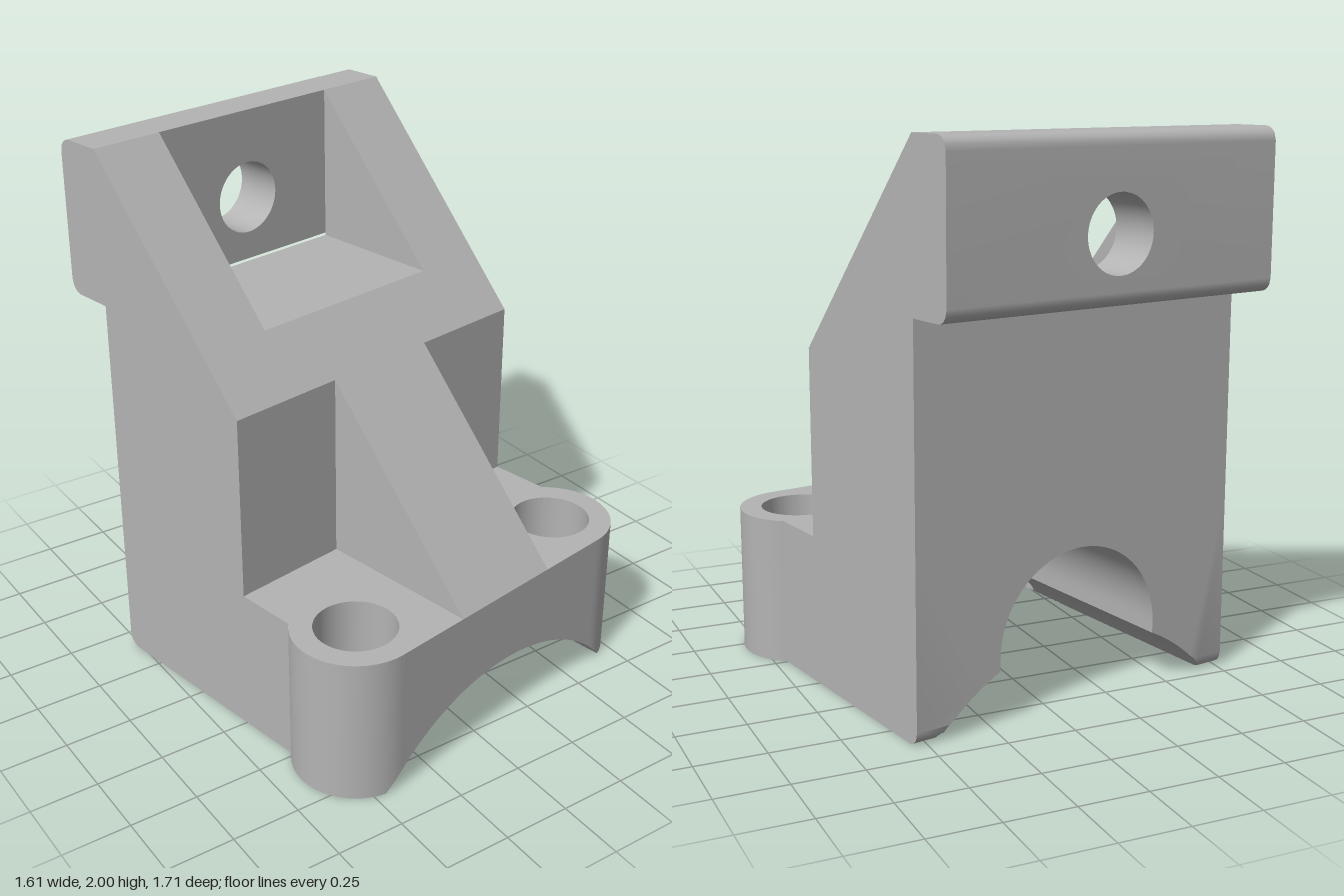
import * as THREE from 'three';
import { toCreasedNormals } from 'three/addons/utils/BufferGeometryUtils.js';

// Main dimensions: u runs across, y up, w towards the front
const HALF = 0.667, RIB = 0.223, POCKET = 0.391;
const BACK = -0.56, LIP = -0.753, STEP = 0.14, SLOT_END = 0.3, FRONT = 0.767;
const FLANGE = 0.55, SPLIT = 0.62, SHELF = 1.42, TOP = 2;
const ROUND = 0.05;
const SADDLE_R = 0.758, SADDLE_Y = -0.488, SADDLE_HALF = 0.58;
const SLOT_R = 0.333, SLOT_Y = 0.24;
const BOSS_U = 0.512, BOSS_W = 0.539, BOSS_R = 0.228, BORE_R = 0.147, HOLE_R = 0.07, BORE_Y = 0.26;
const INNER = BOSS_U - BORE_R;

// Height of the underside saddle and of the sloped front
const saddle = (u) => Math.max(0, SADDLE_Y + Math.sqrt(Math.max(0, SADDLE_R ** 2 - u * u)));
const slope = (w) => TOP - (w - BACK) * (TOP - FLANGE) / (FRONT - BACK);

const polygon = (pts) => new THREE.Shape(pts.map(([x, y]) => new THREE.Vector2(x, y)));

// Points along the saddle between two u positions
function saddleArc(a, b, n) {
  return Array.from({ length: n + 1 }, (_, i) => {
    const u = a + (b - a) * i / n;
    return [u, Math.abs(u) > SADDLE_HALF - 1e-6 ? 0 : saddle(u)];
  });
}

// Extrude a (u, y) shape along w
function alongW(shape, w0, w1, steps = 1) {
  const g = new THREE.ExtrudeGeometry(shape, { depth: w1 - w0, steps, bevelEnabled: false, curveSegments: 32 });
  return g.translate(0, 0, w0);
}

// Extrude a (w, y) outline across u
function acrossU(pts, u0, u1) {
  const g = new THREE.ExtrudeGeometry(polygon(pts), { depth: u1 - u0, bevelEnabled: false });
  return g.translate(0, 0, -u1).rotateY(-Math.PI / 2);
}

// Round the lower (and upper) horizontal edges at a back face
function roundBack(g, back, low, high) {
  const p = g.attributes.position;
  for (let i = 0; i < p.count; i++) {
    const t = Math.max(0, ROUND - (p.getZ(i) - back));
    const lift = ROUND - Math.sqrt(Math.max(0, ROUND ** 2 - t * t));
    p.setY(i, Math.min(high - lift, Math.max(low + lift, p.getY(i))));
  }
  return g;
}

// Mounting boss with counterbored hole, lofted around the hole axis
function bossGeometry(side) {
  const back = BOSS_W - SLOT_END, out = HALF - BOSS_U, reach = Math.sqrt(BOSS_R ** 2 - out ** 2);
  const angles = Array.from({ length: 96 }, (_, i) => -Math.PI + (i + 0.5) * Math.PI / 48);
  angles.push(Math.atan2(-back, -BORE_R), Math.atan2(-back, out), Math.atan2(-reach, out),
    Math.atan2(BOSS_R, -BORE_R), 0, Math.PI / 2);
  angles.sort((a, b) => a - b);
  const edge = (a) => {
    const c = Math.cos(a), s = Math.sin(a);
    const box = Math.min((c > 0 ? out : BORE_R) / Math.max(1e-9, Math.abs(c)),
      (s > 0 ? BOSS_R : back) / Math.max(1e-9, Math.abs(s)));
    if (c < 0) return box;
    return s >= 0 ? BOSS_R : Math.max(BOSS_R, box);
  };
  // Rings: underside outwards, up the wall, over the top, down the counterbore and hole
  const rings = [];
  for (let i = 0; i <= 12; i++) rings.push([(a) => HOLE_R + (edge(a) - HOLE_R) * i / 12, null]);
  rings.push([edge, FLANGE], [() => BORE_R, FLANGE], [() => BORE_R, BORE_Y], [() => HOLE_R, BORE_Y]);
  const pos = [], index = [], n = angles.length;
  for (const [radius, y] of rings) {
    for (const a of angles) {
      const u = BOSS_U + radius(a) * Math.cos(a);
      pos.push(side * u, y === null ? saddle(u) : y, BOSS_W + radius(a) * Math.sin(a));
    }
  }
  for (let i = 0; i < rings.length; i++) {
    const i2 = (i + 1) % rings.length;
    for (let j = 0; j < n; j++) {
      const j2 = (j + 1) % n;
      const a = i * n + j, b = i2 * n + j, c = i2 * n + j2, d = i * n + j2;
      if (side > 0) index.push(a, b, c, a, c, d);
      else index.push(a, c, b, a, d, c);
    }
  }
  const g = new THREE.BufferGeometry();
  g.setAttribute('position', new THREE.Float32BufferAttribute(pos, 3));
  g.setIndex(index);
  return g;
}

export function createModel() {
  const model = new THREE.Group();
  model.name = 'mountingBracket';
  const bracket = new THREE.Group();
  bracket.name = 'bracket';
  bracket.rotation.y = THREE.MathUtils.degToRad(10);
  bracket.position.set(-0.018, 0, 0.003);
  model.add(bracket);

  const grey = new THREE.MeshStandardMaterial({ color: 0xb4b4b4 });
  grey.name = 'grey';
  const add = (name, geometry) => {
    const mesh = new THREE.Mesh(toCreasedNormals(geometry, 0.5), grey);
    mesh.name = name;
    bracket.add(mesh);
  };

  // Underside outline: saddle with a round-topped slot
  const slot = Array.from({ length: 41 }, (_, i) => {
    const a = Math.PI * (1 - i / 40);
    return [SLOT_R * Math.cos(a), SLOT_Y + SLOT_R * Math.sin(a)];
  });
  const under = [[-HALF, 0], ...saddleArc(-SADDLE_HALF, -SLOT_R, 12), ...slot,
    ...saddleArc(SLOT_R, SADDLE_HALF, 12), [HALF, 0]];

  // Lower body, with a rounded back edge
  const rear = polygon([...under, [HALF, SPLIT], [-HALF, SPLIT]]);
  add('lowerBodyBack', roundBack(alongW(rear, BACK, BACK + ROUND, 8), BACK, 0, 9));
  add('lowerBody', alongW(rear, BACK + ROUND, STEP));
  add('lowerBodyStep', alongW(polygon([...under, [HALF, FLANGE], [RIB, FLANGE], [RIB, SPLIT],
    [-RIB, SPLIT], [-RIB, FLANGE], [-HALF, FLANGE]]), STEP, SLOT_END));

  // Front flange between the bosses
  add('frontFlange', alongW(polygon([...saddleArc(-INNER, INNER, 40),
    [INNER, FLANGE], [-INNER, FLANGE]]), SLOT_END, FRONT));
  add('leftBoss', bossGeometry(1));
  add('rightBoss', bossGeometry(-1));

  // Upper body: sloped cheeks either side of the open pocket
  const cheek = [[BACK, SPLIT], [STEP, SPLIT], [STEP, slope(STEP)], [BACK, TOP]];
  add('leftCheek', acrossU(cheek, POCKET, HALF));
  add('rightCheek', acrossU(cheek, -HALF, -POCKET));
  const pocketFront = BACK + (TOP - SHELF) * (FRONT - BACK) / (TOP - FLANGE);
  add('pocketFloor', acrossU([[BACK, SPLIT], [STEP, SPLIT], [STEP, slope(STEP)],
    [pocketFront, SHELF], [BACK, SHELF]], -POCKET, POCKET));

  // Central sloped rib
  add('centreRib', acrossU([[STEP, SPLIT], [SLOT_END, SPLIT], [SLOT_END, FLANGE], [FRONT, FLANGE],
    [STEP, slope(STEP)]], -RIB, RIB));

  // Back lip with bolt hole and rounded edges
  const lipLow = 1.43;
  const lip = polygon([[-HALF, lipLow], [HALF, lipLow], [HALF, TOP], [-HALF, TOP]]);
  lip.holes.push(new THREE.Path().absarc(0, 1.67, 0.135, 0, Math.PI * 2, true));
  add('backLipEdge', roundBack(alongW(lip, LIP, LIP + ROUND, 8), LIP, lipLow, TOP));
  add('backLip', alongW(lip, LIP + ROUND, BACK));
  // Fills the sliver between lip and pocket floor
  return model;
}
